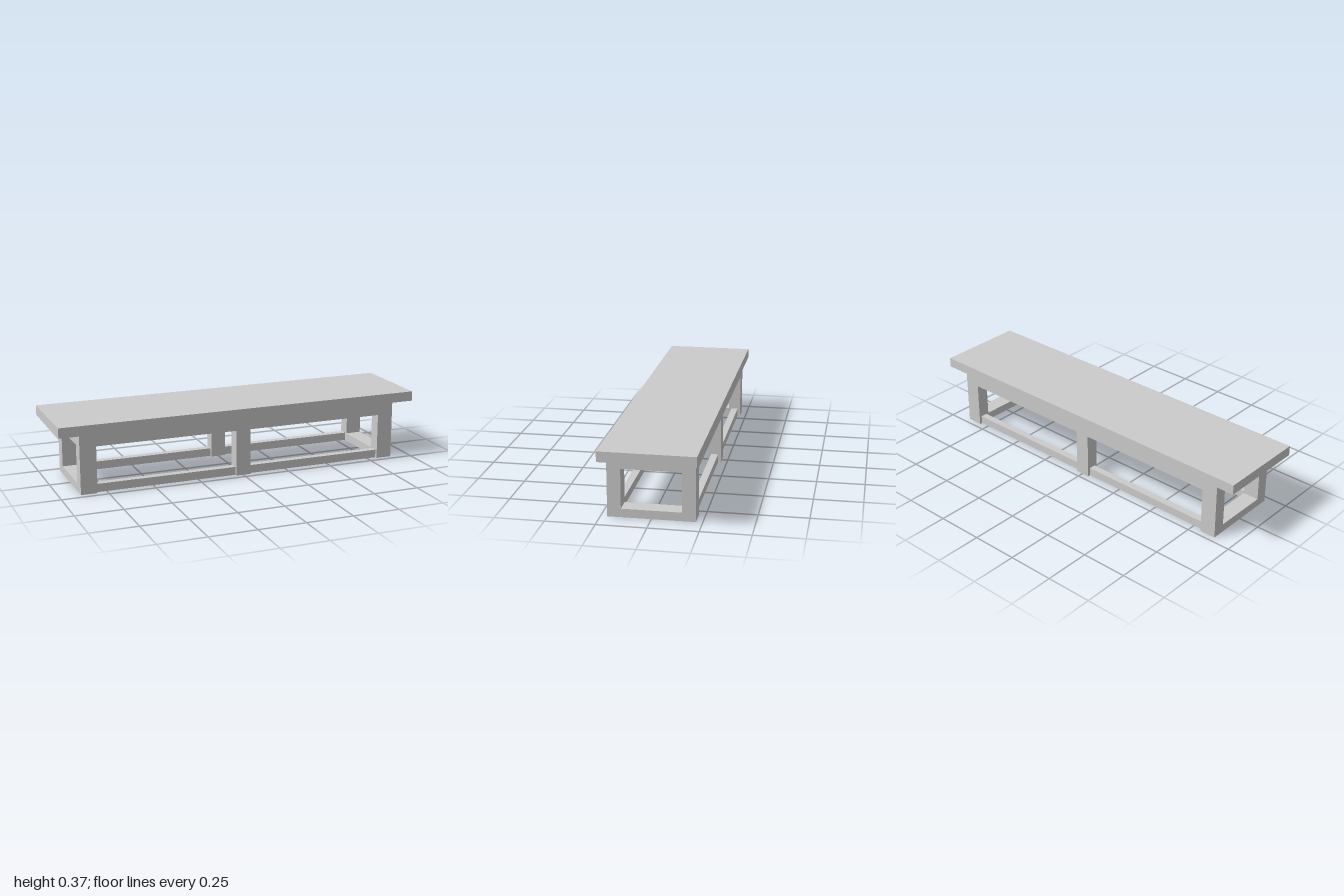
import * as THREE from 'three';

export function createModel() {
  const model = new THREE.Group();
  const material = new THREE.MeshStandardMaterial({ color: 0xcccccc });

  // box given by its lower and upper corners
  function box(name, [x0, y0, z0], [x1, y1, z1]) {
    const mesh = new THREE.Mesh(new THREE.BoxGeometry(x1 - x0, y1 - y0, z1 - z0), material);
    mesh.position.set((x0 + x1) / 2, (y0 + y1) / 2, (z0 + z1) / 2);
    mesh.name = name;
    model.add(mesh);
  }

  const topY = 0.369, slabY = 0.316, openY = 0.248, railY = 0.044;
  const outX = 0.89, inX = 0.803, outZ = 0.217, inZ = 0.149;

  // overhanging top and the solid bed below it
  box('tabletop', [-1, slabY, -0.239], [1, topY, 0.239]);
  box('bed', [-outX, openY, -outZ], [outX, slabY, outZ]);

  for (const sz of [-1, 1]) {
    const z0 = sz > 0 ? inZ : -outZ;
    const z1 = sz > 0 ? outZ : -inZ;
    // corner legs
    box('rightLeg', [-outX, 0, z0], [-inX, openY, z1]);
    box('leftLeg', [inX, 0, z0], [outX, openY, z1]);
    // middle post
    box('middlePost', [-0.04, 0, z0], [0.04, openY, z1]);
    // long lower rails, set back from the leg faces
    for (const [a, b] of [[-inX, -0.04], [0.04, inX]]) {
      box('longRail', [a, 0, z0 + 0.015], [b, railY, z1 - 0.015]);
    }
  }

  // lower rails across both ends
  box('rightEndRail', [-outX, 0, -inZ], [-inX, railY, inZ]);
  box('leftEndRail', [inX, 0, -inZ], [outX, railY, inZ]);

  return model;
}
